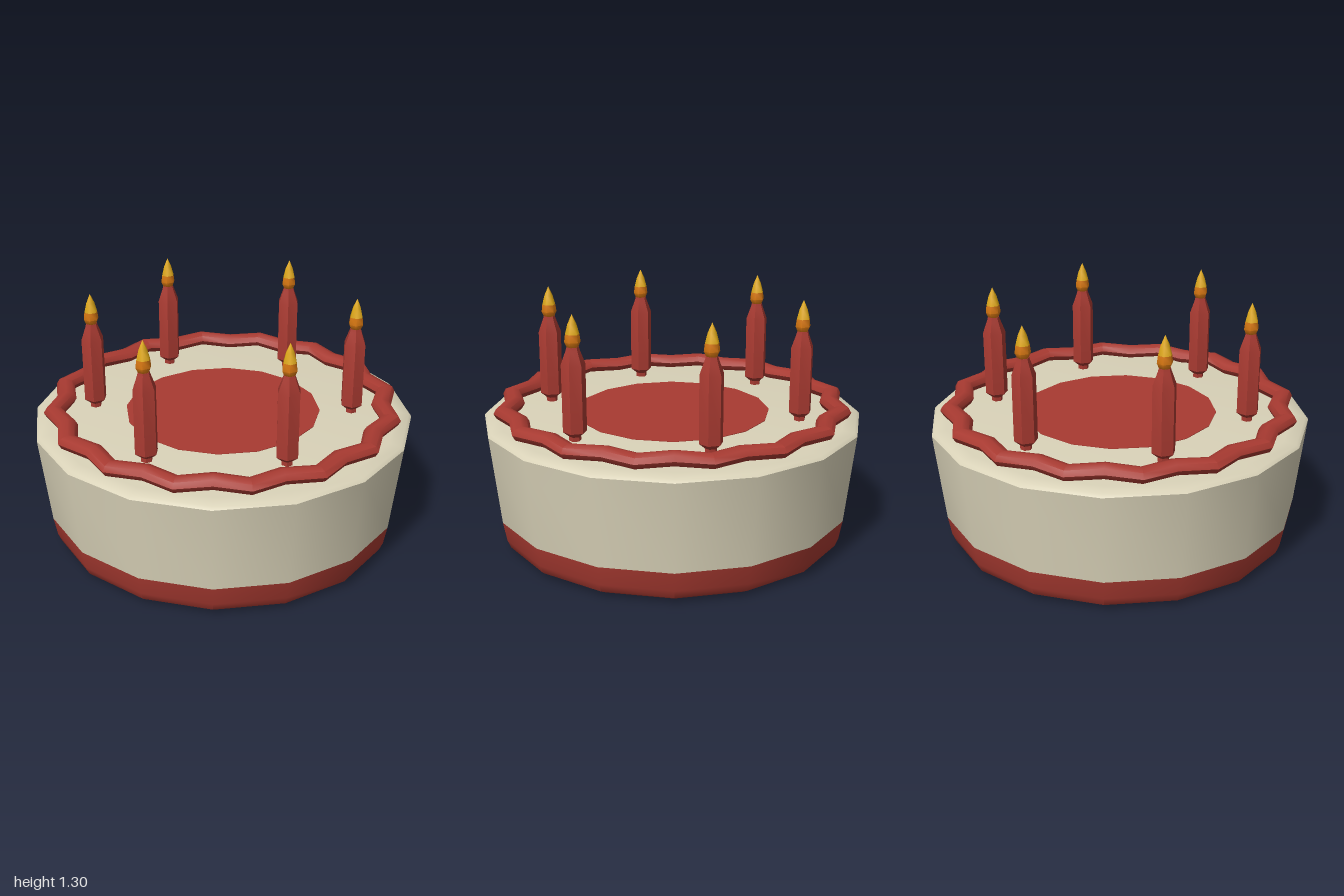
import * as THREE from 'three';
import { toCreasedNormals } from 'three/addons/utils/BufferGeometryUtils.js';

const mat = (name, color) => {
  const m = new THREE.MeshStandardMaterial({ color });
  m.name = name;
  return m;
};

// Turned part from [radius, height] pairs, listed from bottom to top
function turned(name, profile, sides, material, crease = 0.7) {
  const points = profile.map(([r, y]) => new THREE.Vector2(r, y));
  const geometry = toCreasedNormals(new THREE.LatheGeometry(points, sides), crease);
  const mesh = new THREE.Mesh(geometry, material);
  mesh.name = name;
  return mesh;
}

// Closed zigzag tube of icing: 32 rings alternating between two radii
function icingGeometry() {
  const rings = 32, sides = 8, positions = [], index = [];
  for (let i = 0; i < rings; i++) {
    const angle = (i / rings) * Math.PI * 2;
    const radius = i % 2 ? 0.89 : 0.836;
    for (let j = 0; j < sides; j++) {
      const t = (j / sides) * Math.PI * 2;
      const r = radius + 0.052 * Math.cos(t);
      positions.push(r * Math.sin(angle), 0.706 + 0.038 * Math.sin(t), r * Math.cos(angle));
      const a = i * sides + j, b = i * sides + (j + 1) % sides;
      const c = ((i + 1) % rings) * sides + j, d = ((i + 1) % rings) * sides + (j + 1) % sides;
      index.push(a, c, b, b, c, d);
    }
  }
  const geometry = new THREE.BufferGeometry();
  geometry.setAttribute('position', new THREE.Float32BufferAttribute(positions, 3));
  geometry.setIndex(index);
  return toCreasedNormals(geometry, 0.85);
}

export function createModel() {
  const cream = mat('cream', 0xd9d2b8);
  const red = mat('red', 0xa83a31);
  const orange = mat('flame orange', 0xdc7a12);
  const yellow = mat('flame yellow', 0xdfa816);

  const cake = new THREE.Group();
  cake.name = 'cake';

  // Cake body: red foot, cream side and top, red disc in the middle
  cake.add(turned('cakeBase', [[0, 0], [0.86, 0], [0.912, 0.03], [0.93, 0.075], [0.948, 0.175]], 16, red));
  cake.add(turned('cakeBody', [[0.948, 0.175], [1, 0.645], [0.985, 0.66], [0.92, 0.668], [0, 0.668]], 16, cream));
  cake.add(turned('topDisc', [[0.515, 0.666], [0.515, 0.671], [0, 0.671]], 16, red));

  // Icing border
  const icing = new THREE.Mesh(icingGeometry(), red);
  icing.name = 'icingBorder';
  cake.add(icing);

  // Six candles in a ring
  for (let i = 0; i < 6; i++) {
    const angle = (i / 6) * Math.PI * 2;
    const candle = new THREE.Group();
    candle.name = 'candle' + (i + 1);
    candle.add(
      turned('wax', [[0.03, 0.66], [0.03, 0.69], [0.06, 0.715], [0.06, 1.055], [0.034, 1.125], [0.03, 1.14], [0, 1.14]], 6, red, 0.5),
      turned('flameBase', [[0, 1.13], [0.026, 1.135], [0.04, 1.165], [0.035, 1.203]], 6, orange, 1.1),
      turned('flameTip', [[0.035, 1.203], [0.022, 1.252], [0, 1.3]], 6, yellow, 1.1),
    );
    candle.position.set(0.68 * Math.cos(angle), 0, 0.68 * Math.sin(angle));
    cake.add(candle);
  }
  return cake;
}
